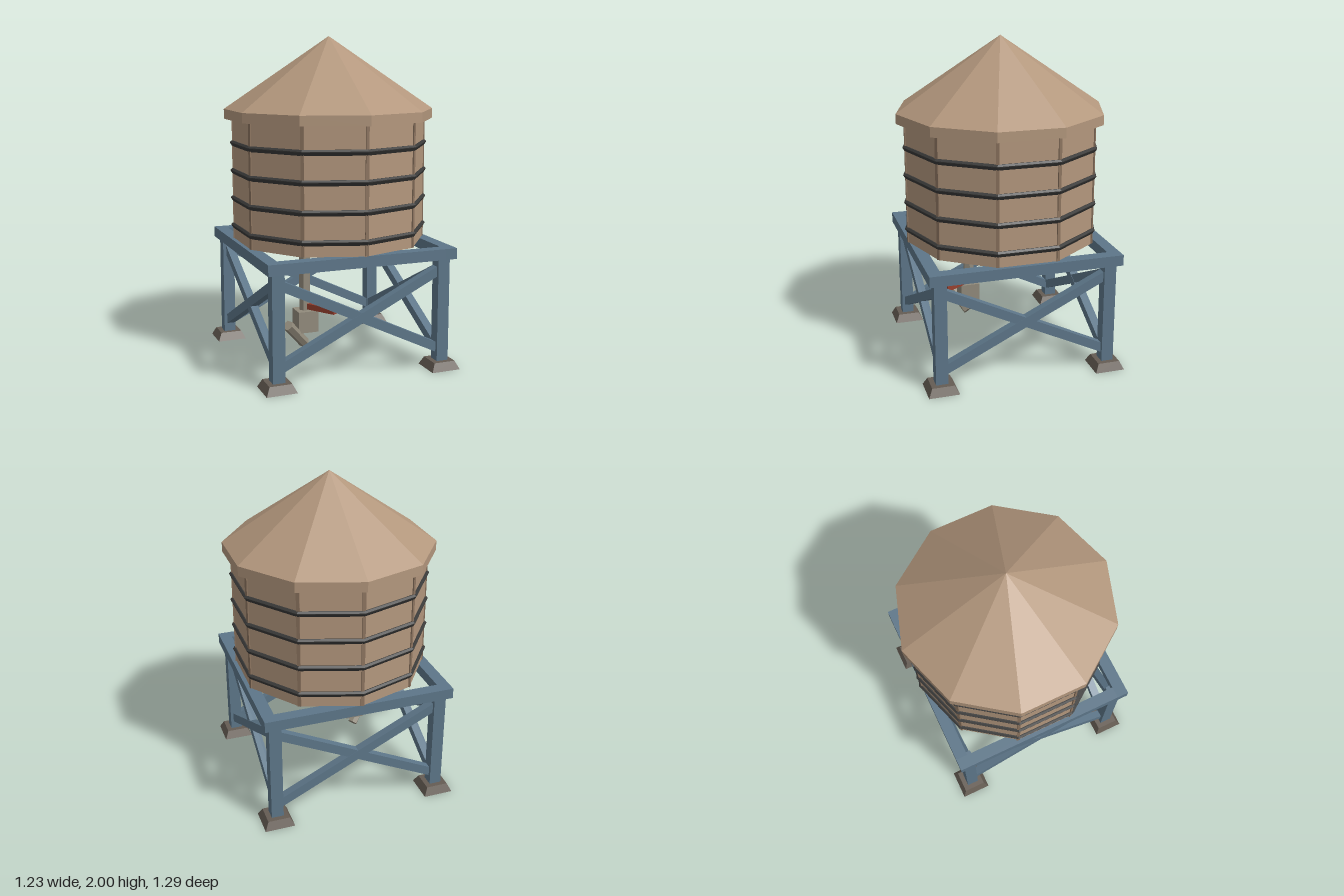
import * as THREE from 'three';

export function createModel() {
  const model = new THREE.Group();
  model.name = 'waterTower';

  const paint = (name, color) => {
    const m = new THREE.MeshStandardMaterial({ color, flatShading: true });
    m.name = name;
    return m;
  };
  const wood = paint('wood', 0xb3977d);
  const darkWood = paint('darkWood', 0x8c745f);
  const iron = paint('iron', 0x3a3a39);
  const steel = paint('blueSteel', 0x5d7689);
  const stone = paint('stone', 0x655c53);
  const pipeMetal = paint('pipeMetal', 0x928b7c);
  const red = paint('red', 0x963f2e);

  const add = (name, geometry, material, x = 0, y = 0, z = 0, parent = model) => {
    const mesh = new THREE.Mesh(geometry, material);
    mesh.name = name;
    mesh.position.set(x, y, z);
    parent.add(mesh);
    return mesh;
  };
  const box = (w, h, d) => new THREE.BoxGeometry(w, h, d);
  const lathe = (pts) =>
    new THREE.LatheGeometry(pts.map(([r, y]) => new THREE.Vector2(r, y)), SIDES);

  const SIDES = 10;
  const TANK_R = 0.594;

  // Ten-sided tank and roof with a straight rim
  add('tank', new THREE.CylinderGeometry(TANK_R, TANK_R, 0.76, SIDES), wood, 0, 1.13, 0);
  add('roof', lathe([[0, 1.5], [0.645, 1.5], [0.645, 1.56], [0, 2]]), wood);

  // Narrow battens over the tank corners
  for (let i = 0; i < SIDES; i++) {
    const a = (i / SIDES) * Math.PI * 2;
    const r = TANK_R - 0.006;
    const batten = add('batten', box(0.02, 0.75, 0.02), darkWood,
      Math.sin(a) * r, 1.127, Math.cos(a) * r);
    batten.rotation.y = a;
  }

  // Iron hoops with a ridged edge
  for (const y of [0.833, 1.005, 1.177, 1.349]) {
    add('hoop', lathe([
      [0.58, -0.017], [0.598, -0.017], [0.611, 0.003], [0.611, 0.007],
      [0.6, 0.017], [0.58, 0.017],
    ]), iron, 0, y, 0);
  }

  // Four identical sides of the stand: beam, crossed braces, leg and foot
  const LEG = 0.522;
  for (let i = 0; i < 4; i++) {
    const side = new THREE.Group();
    side.name = 'standSide';
    side.rotation.y = (i * Math.PI) / 2;
    model.add(side);

    // Beams meet end to side so that no faces overlap
    add('topBeam', box(1.105, 0.066, 0.075), steel, -0.0375, 0.718, 0.5525, side);

    for (const s of [-1, 1]) {
      const brace = add('crossBrace', box(1.12, 0.056, 0.05 + s * 0.002), steel, 0, 0.37, 0.515, side);
      brace.rotation.z = s * Math.atan2(0.47, 0.97);
    }

    add('leg', box(0.075, 0.66, 0.075), steel, LEG, 0.37, LEG, side);
    const foot = new THREE.CylinderGeometry(0.068 * Math.SQRT2, 0.0925 * Math.SQRT2, 0.05, 4);
    foot.rotateY(Math.PI / 4);
    add('foot', foot, stone, LEG, 0.025, LEG, side);
  }

  // Drain pipe and valve under the tank
  const hexPipe = (r, length) => {
    const g = new THREE.CylinderGeometry(r, r, length, 6);
    g.rotateY(Math.PI / 6);
    return g;
  };
  add('drainPipe', hexPipe(0.035, 0.44), pipeMetal, -0.22, 0.54, 0.155);
  add('valveBox', box(0.125, 0.132, 0.123), pipeMetal, -0.218, 0.278, 0.16);

  // Slanted spout through the valve corner
  const top = new THREE.Vector3(-0.368, 0.288, 0.265);
  const bottom = new THREE.Vector3(-0.225, 0.132, 0.16);
  const axis = top.clone().sub(bottom);
  const mid = top.clone().add(bottom).multiplyScalar(0.5);
  const spout = add('spout', hexPipe(0.033, axis.length()), pipeMetal, mid.x, mid.y, mid.z);
  spout.quaternion.setFromUnitVectors(new THREE.Vector3(0, 1, 0), axis.normalize());

  // Red valve handle
  const handle = add('valveHandle', box(0.04, 0.036, 0.2), red, -0.145, 0.367, 0.257);
  handle.rotation.y = THREE.MathUtils.degToRad(33);

  return model;
}
